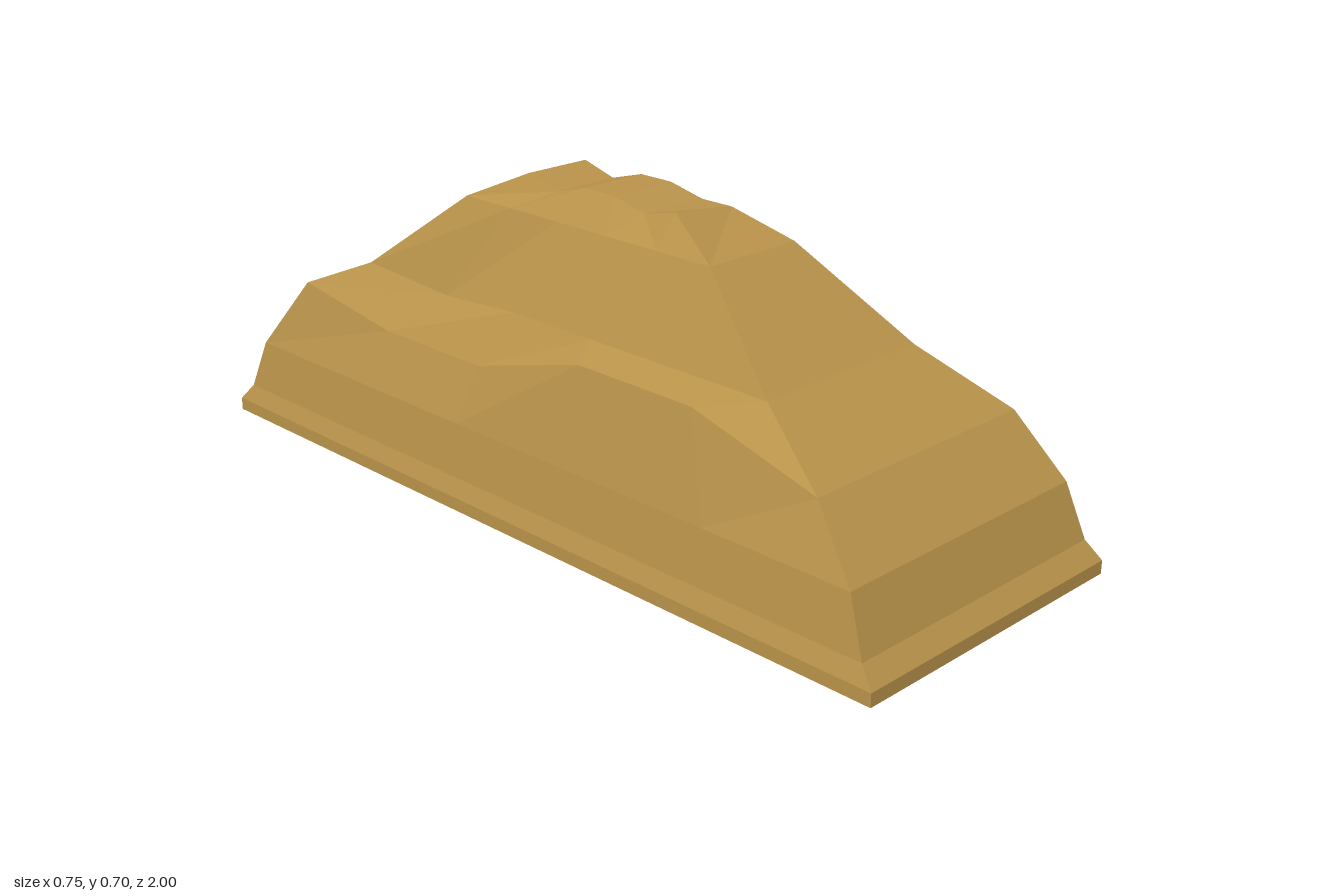
import * as THREE from 'three';

// Each level: height, half width, half length, then shifted points as column: [x, y, z].
// Columns 0-5 run front to back along +x, columns 6-11 back to front along -x.
const LEVELS = [
  { y: 0, w: 0.375, l: 1 },
  { y: 0.03, w: 0.375, l: 1 },
  { y: 0.07, w: 0.36, l: 0.965 },
  { y: 0.19, w: 0.345, l: 0.92, moved: { 5: [0.325, 0.19, -0.87] } },
  {
    y: 0.32, w: 0.3, l: 0.8, moved: {
      0: [0.32, 0.32, 0.8], 1: [0.32, 0.34, 0.48], 2: [0.286, 0.33, 0.16],
      3: [0.298, 0.27, -0.16], 4: [0.31, 0.28, -0.57], 5: [0.285, 0.365, -0.75],
      6: [-0.3, 0.365, -0.79], 9: [-0.298, 0.407, 0.16], 10: [-0.3, 0.407, 0.48],
    },
  },
  {
    y: 0.435, w: 0.228, l: 0.61, moved: {
      2: [0.2, 0.417, 0.12], 3: [0.181, 0.32, -0.12], 4: [0.235, 0.415, -0.37],
      5: [0.2, 0.435, -0.545], 6: [-0.228, 0.435, -0.63], 7: [-0.21, 0.41, -0.37],
    },
  },
  {
    y: 0.63, w: 0.14, l: 0.375, moved: {
      0: [0.115, 0.63, 0.375], 2: [0.12, 0.6, 0.075],
    },
  },
  {
    y: 0.7, w: 0.085, l: 0.225, moved: {
      0: [0.085, 0.68, 0.225], 1: [0.085, 0.68, 0.135], 4: [0.085, 0.675, -0.135],
      7: [-0.085, 0.675, -0.135], 10: [-0.085, 0.68, 0.135],
    },
  },
];
const COLS = 12;

function levelPoints({ y, w, l, moved = {} }) {
  const points = [];
  for (let i = 0; i < COLS; i++) {
    const step = i < 6 ? i : 11 - i;
    points.push(moved[i] ?? [i < 6 ? w : -w, y, l * (1 - step * 0.4)]);
  }
  return points;
}

export function createModel() {
  const group = new THREE.Group();
  group.name = 'moundModel';

  const positions = LEVELS.flatMap(levelPoints).flat();
  const index = [];
  const quad = (a, b, c, d) => index.push(a, b, c, a, c, d);

  // sloping sides between neighbouring levels
  for (let r = 0; r < LEVELS.length - 1; r++) {
    for (let i = 0; i < COLS; i++) {
      const j = (i + 1) % COLS;
      const low = r * COLS, high = low + COLS;
      quad(low + i, low + j, high + j, high + i);
    }
  }

  // stepped crest and flat underside
  const top = (LEVELS.length - 1) * COLS;
  for (let i = 0; i < 5; i++) {
    quad(top + i, top + i + 1, top + 10 - i, top + 11 - i);
    quad(11 - i, 10 - i, i + 1, i);
  }

  const geometry = new THREE.BufferGeometry();
  geometry.setAttribute('position', new THREE.Float32BufferAttribute(positions, 3));
  geometry.setIndex(index);
  const faceted = geometry.toNonIndexed();
  faceted.computeVertexNormals();

  const mound = new THREE.Mesh(faceted, new THREE.MeshStandardMaterial({ color: 0xb8924a, flatShading: true }));
  mound.name = 'earthMound';
  group.add(mound);
  return group;
}
